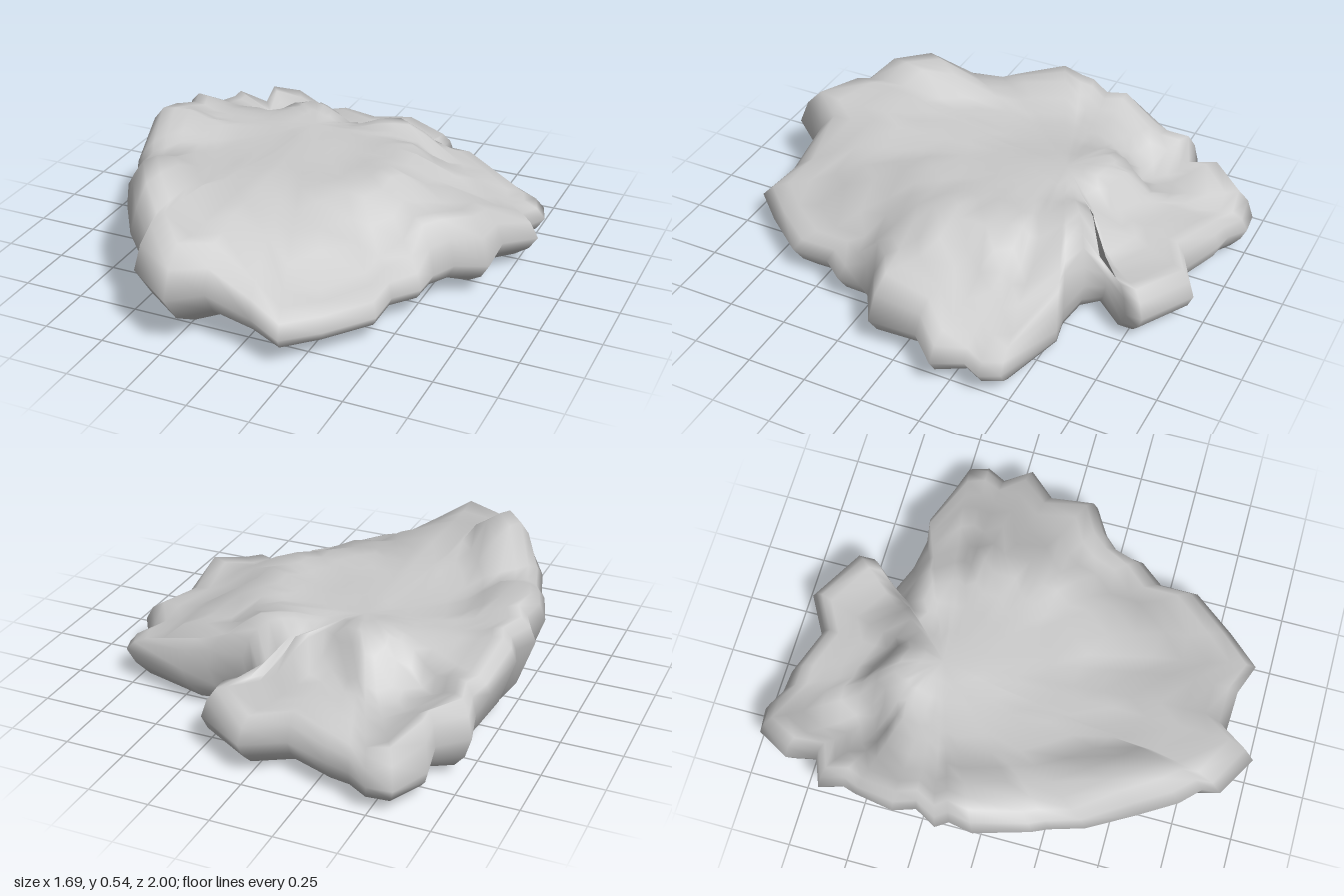
import * as THREE from 'three';
import { mergeVertices } from 'three/addons/utils/BufferGeometryUtils.js';

// Widest contour of the slab: x, z, height of the edge
const rim = [
  [-0.6, -0.99, 0.12], [-0.5, -1, 0.12], [-0.41, -0.95, 0.13], [-0.32, -0.94, 0.14], [-0.13, -0.87, 0.14],
  [0.03, -0.96, 0.14], [0.25, -0.83, 0.14], [0.25, -0.76, 0.14], [0.14, -0.63, 0.15], [0.22, -0.57, 0.19],
  [0.37, -0.55, 0.18], [0.48, -0.57, 0.16], [0.78, -0.48, 0.14], [0.81, -0.4, 0.13], [0.77, -0.32, 0.13],
  [0.84, -0.21, 0.14], [0.73, -0.09, 0.15], [0.74, 0.11, 0.15], [0.62, 0.18, 0.16], [0.56, 0.25, 0.14],
  [0.55, 0.36, 0.13], [0.47, 0.46, 0.13], [0.47, 0.62, 0.13], [0.33, 0.8, 0.13], [0.21, 0.93, 0.14],
  [0.07, 0.88, 0.17], [-0.12, 0.87, 0.22], [-0.22, 1, 0.24], [-0.4, 0.9, 0.28], [-0.41, 0.83, 0.3],
  [-0.5, 0.75, 0.34], [-0.6, 0.6, 0.37], [-0.7, 0.42, 0.36], [-0.74, 0.28, 0.35], [-0.77, 0.22, 0.36],
  [-0.84, 0, 0.38], [-0.82, -0.1, 0.37], [-0.85, -0.15, 0.36], [-0.8, -0.24, 0.36], [-0.83, -0.33, 0.36],
  [-0.79, -0.5, 0.3], [-0.76, -0.57, 0.25], [-0.78, -0.67, 0.2], [-0.66, -0.72, 0.17], [-0.68, -0.85, 0.14],
];

// Peaks, ledges and hollows of the upper surface: x, z, height
const relief = [
  [-0.6, 0.57, 0.53], [-0.51, 0.5, 0.54], [-0.76, 0, 0.5], [-0.7, 0.3, 0.42], [-0.3, 0.87, 0.43],
  [-0.2, 0.6, 0.42], [-0.1, 0.72, 0.39], [0.05, 0.8, 0.27], [0.17, 0.82, 0.21], [0.33, 0.65, 0.2],
  [0.2, 0.4, 0.34], [0.42, 0.4, 0.21], [0.1, 0.2, 0.41], [0.5, 0.1, 0.33], [0.63, 0, 0.34],
  [0.28, 0, 0.43], [0.28, -0.2, 0.43], [0.45, -0.2, 0.33], [0.67, -0.2, 0.24], [0.7, -0.4, 0.2],
  [0.42, -0.42, 0.3], [0.1, -0.46, 0.43], [-0.1, -0.2, 0.42], [-0.4, 0, 0.4], [-0.55, -0.3, 0.41],
  [-0.8, -0.32, 0.45], [-0.28, -0.44, 0.44], [-0.35, 0.3, 0.42], [-0.74, -0.5, 0.36], [-0.5, -0.6, 0.25],
  [-0.2, -0.66, 0.27], [0.08, -0.63, 0.23], [-0.2, -0.8, 0.25], [0.08, -0.82, 0.24], [-0.62, -0.82, 0.32],
  [-0.45, -0.9, 0.21],
];

// Upper surface height, blended from the nearest relief points
function topHeight(x, z) {
  let sum = 0, weight = 0;
  for (const [px, pz, h] of relief) {
    const w = 1 / (((x - px) ** 2 + (z - pz) ** 2) ** 2 + 1e-5);
    sum += w * h;
    weight += w;
  }
  return sum / weight;
}

// Gently domed underside: one low point and a shallow groove running in from the right
function baseHeight(x, z) {
  const low = Math.exp(-((x + 0.42) ** 2 + (z + 0.04) ** 2) / 0.06);
  const across = (z - 0.25 - (x - 0.56) * 0.5) / 0.14;
  const groove = Math.exp(-across * across) * THREE.MathUtils.smoothstep(x, -0.2, 0.5);
  return 0.04 - 0.04 * low + 0.045 * groove;
}

// Rings run from the underside centre, out round the rim, to the top centre
const rings = [
  ...[0, 0.25, 0.5, 0.75, 1].map((t) => ({ t, kind: 'base' })),
  { t: 0.5, kind: 'flank' },
  { t: 1, kind: 'rim' },
  { t: 0.965, kind: 'shoulder' },
  ...[0.91, 0.84, 0.75, 0.65, 0.55, 0.45, 0.35, 0.25, 0.13, 0].map((t) => ({ t, kind: 'top' })),
];
const CX = -0.2, CZ = -0.3;

function ringPoint({ t, kind }, [rx, rz, ry]) {
  const undercut = 0.92 - 0.75 * (ry - 0.12); // high edges overhang more
  const s = kind === 'base' ? t * undercut
    : kind === 'flank' ? THREE.MathUtils.lerp(undercut, 1, 0.62) : t;
  const x = CX + (rx - CX) * s, z = CZ + (rz - CZ) * s;
  let y = ry;
  if (kind === 'base') y = baseHeight(x, z);
  if (kind === 'flank') y = THREE.MathUtils.lerp(0.045, ry, 0.4);
  if (kind === 'shoulder') y = THREE.MathUtils.lerp(ry, Math.max(ry, topHeight(x, z)), 0.6);
  if (kind === 'top') y = topHeight(x, z);
  return [x, y, z];
}

export function createModel() {
  const n = rim.length;
  const last = rings.length - 2;
  const positions = rings.flatMap((ring) => rim.flatMap((p) => ringPoint(ring, p)));
  const index = [];
  for (let r = 0; r <= last; r++) {
    for (let i = 0; i < n; i++) {
      const a = r * n + i, b = r * n + (i + 1) % n;
      // Quads between rings, single triangles at the two centres
      if (r === 0) index.push(a, a + n, b + n);
      else if (r === last) index.push(a, a + n, b);
      else index.push(a, a + n, b + n, a, b + n, b);
    }
  }
  let geometry = new THREE.BufferGeometry();
  geometry.setAttribute('position', new THREE.Float32BufferAttribute(positions, 3));
  geometry.setIndex(index);
  geometry = mergeVertices(geometry, 1e-5);
  geometry.computeVertexNormals();

  const rock = new THREE.Mesh(geometry, new THREE.MeshStandardMaterial({ color: 0xcccccc }));
  rock.name = 'rockSlab';
  const model = new THREE.Group();
  model.name = 'rock';
  model.add(rock);
  return model;
}
